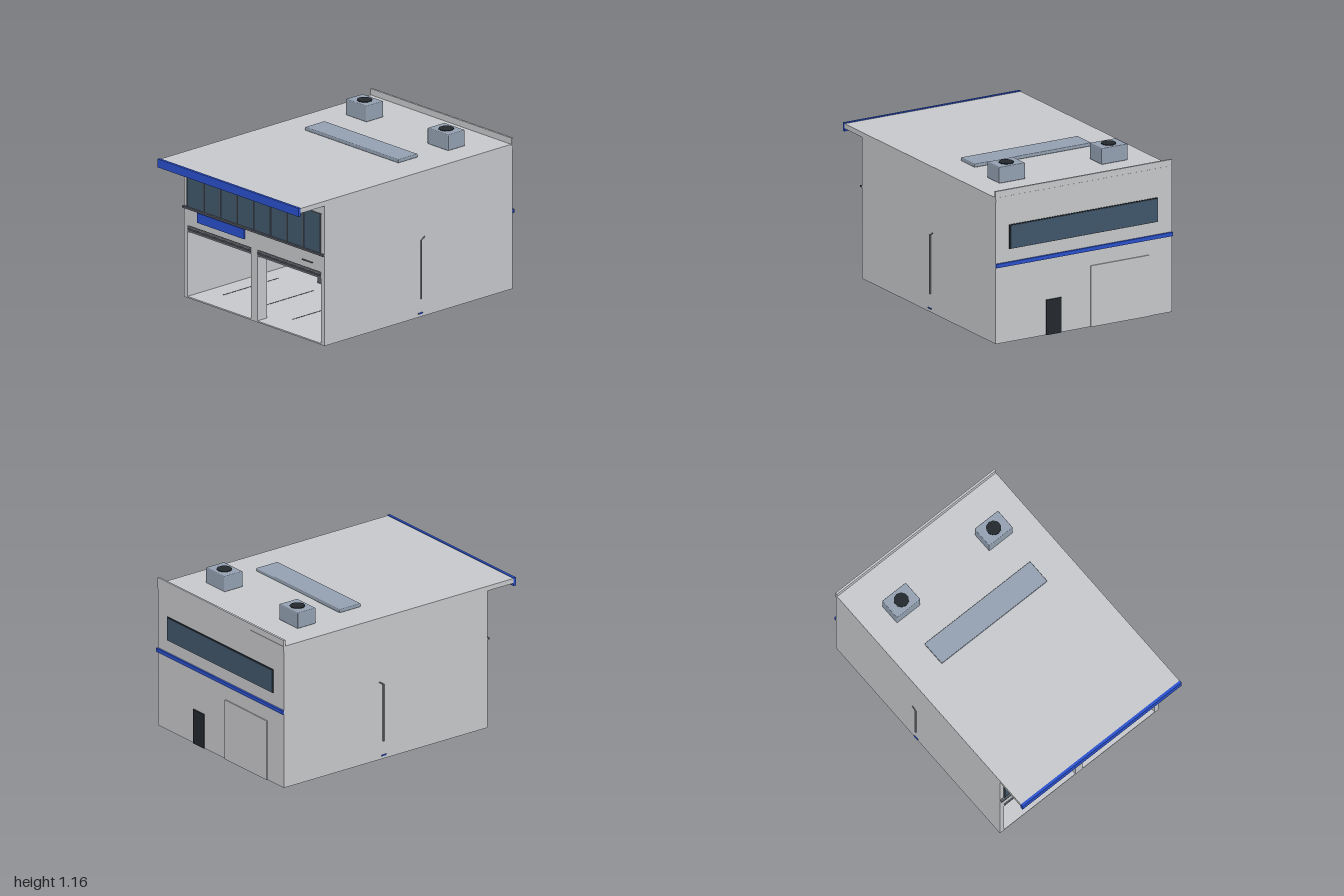
import * as THREE from 'three';
import { RoundedBoxGeometry } from 'three/addons/geometries/RoundedBoxGeometry.js';

const mat = (name, color) => {
  const m = new THREE.MeshStandardMaterial({ color });
  m.name = name;
  return m;
};

export function createModel() {
  const root = new THREE.Group();
  root.name = 'pitGarage';
  const wall = mat('wallGrey', 0xc6c7ca);
  const blue = mat('trimBlue', 0x2a50cc);
  const glass = mat('darkGlass', 0x40566a);
  const screen = mat('screenBlue', 0x5296cf);
  const black = mat('black', 0x23282d);
  const dark = mat('darkGrey', 0x585c66);
  const steel = mat('steelBlue', 0x93a0b1);
  const metal = mat('metalGrey', 0x868a92);

  const group = (name) => {
    const g = new THREE.Group();
    g.name = name;
    root.add(g);
    return g;
  };
  // Box given by its minimum and maximum on each axis
  const box = (parent, name, m, x0, x1, y0, y1, z0, z1) => {
    const b = new THREE.Mesh(new THREE.BoxGeometry(x1 - x0, y1 - y0, z1 - z0), m);
    b.name = name;
    b.position.set((x0 + x1) / 2, (y0 + y1) / 2, (z0 + z1) / 2);
    parent.add(b);
    return b;
  };
  const rod = (parent, name, m, r, a, b) => {
    const p = new THREE.Vector3(...a), q = new THREE.Vector3(...b);
    const c = new THREE.Mesh(new THREE.CylinderGeometry(r, r, p.distanceTo(q), 10), m);
    c.name = name;
    c.position.copy(p).lerp(q, 0.5);
    c.quaternion.setFromUnitVectors(new THREE.Vector3(0, 1, 0), q.sub(p).normalize());
    parent.add(c);
  };

  // Shell: floor, walls, pillars, upper storey
  const shell = group('shell');
  box(shell, 'floor', wall, -0.7, 0.7, 0, 0.01, -0.985, 0.757);
  box(shell, 'backWall', wall, -0.665, 0.665, 0.01, 0.52, -0.985, -0.95);
  for (const s of [-1, 1])
    box(shell, 'sideWall', wall, s < 0 ? -0.7 : 0.665, s < 0 ? -0.665 : 0.7, 0.01, 0.52, -0.985, 0.757);
  box(shell, 'centrePillar', wall, -0.035, 0.03, 0.01, 0.52, 0.667, 0.757);
  box(shell, 'upperStorey', wall, -0.7, 0.7, 0.52, 1.005, -0.985, 0.757);

  // Roof with front overhang, blue fascia and rear parapet
  const roof = group('roof');
  box(roof, 'roofSlab', wall, -0.7, 0.7, 1.005, 1.04, -0.988, 0.985);
  box(roof, 'fascia', blue, -0.702, 0.702, 0.985, 1.045, 0.98, 1.0);
  box(roof, 'parapet', wall, -0.702, 0.702, 1.03, 1.085, -0.987, -0.972);
  for (let i = 0; i < 6; i++) {
    const x = -0.55 + i * 0.22;
    box(roof, 'soffitLight', metal, x - 0.02, x + 0.02, 1.0, 1.005, 0.885, 0.915);
  }
  // Roof units
  const unit = (name, x, z, w, h, d) => {
    const u = new THREE.Mesh(new RoundedBoxGeometry(w, h, d, 2, 0.006), steel);
    u.name = name;
    u.position.set(x, 1.04 + h / 2, z);
    roof.add(u);
  };
  for (const s of [-1, 1]) {
    unit('airUnit', s * 0.407, -0.643, 0.207, 0.115, 0.157);
    rod(roof, 'fan', black, 0.053, [s * 0.407, 1.15, -0.643], [s * 0.407, 1.16, -0.643]);
  }
  unit('roofDuct', 0, -0.235, 0.93, 0.025, 0.182);

  // Front windows, mullions, sill and signs
  const front = group('front');
  box(front, 'windowBand', glass, -0.665, 0.665, 0.657, 0.94, 0.757, 0.762);
  for (let i = 0; i <= 8; i++) {
    const x = -0.662 + i * 0.1655;
    box(front, 'mullion', dark, x - 0.004, x + 0.004, 0.657, 0.94, 0.757, 0.767);
  }
  box(front, 'windowHead', dark, -0.667, 0.667, 0.937, 0.942, 0.757, 0.767);
  box(front, 'sill', dark, -0.7, 0.7, 0.645, 0.658, 0.757, 0.777);
  box(front, 'signPanel', blue, -0.56, -0.095, 0.567, 0.637, 0.757, 0.766);
  box(front, 'lampBar', dark, 0.48, 0.585, 0.567, 0.572, 0.757, 0.767);
  // Rolled-up shutters above each bay
  for (const [x0, x1] of [[-0.665, -0.035], [0.03, 0.665]]) {
    box(front, 'shutterBox', dark, x0, x1, 0.488, 0.52, 0.69, 0.75);
    for (let i = 0; i < 3; i++)
      box(front, 'shutterSlat', i % 2 ? dark : metal, x0, x1, 0.476 + i * 0.014, 0.486 + i * 0.014, 0.748, 0.758 + i * 0.001);
  }

  // Rear: window, stripe, door and loading door
  const rear = group('rear');
  box(rear, 'rearWindowFrame', black, -0.587, 0.593, 0.66, 0.833, -0.99, -0.985);
  box(rear, 'rearWindow', glass, -0.58, 0.586, 0.666, 0.827, -0.994, -0.985);
  box(rear, 'rearStripe', blue, -0.702, 0.702, 0.543, 0.57, -1.0, -0.985);
  box(rear, 'rearDoor', black, 0.18, 0.3, 0.0, 0.25, -0.993, -0.985);
  box(rear, 'loadingDoor', wall, -0.52, -0.053, 0.0, 0.435, -0.993, -0.985);

  // Drain pipes on both sides
  const pipes = group('pipes');
  for (const s of [-1, 1]) {
    const x = s * 0.703;
    rod(pipes, 'downPipe', metal, 0.006, [x, 0.13, -0.135], [x, 0.55, -0.135]);
    rod(pipes, 'pipeBend', metal, 0.004, [x, 0.548, -0.135], [x, 0.57, -0.168]);
    box(pipes, 'pipeFoot', blue, x - 0.004, x + 0.004, 0.022, 0.03, -0.15, -0.11);
  }

  // Interior rear wall: blue tiles, rail, hoses and screens
  const inside = group('interior');
  box(inside, 'tilePanel', blue, -0.65, 0.65, 0.14, 0.415, -0.95, -0.944);
  box(inside, 'tileRail', dark, -0.665, 0.665, 0.131, 0.14, -0.95, -0.935);
  box(inside, 'tileTopRail', dark, -0.665, 0.665, 0.415, 0.421, -0.95, -0.94);
  box(inside, 'skirtStripe', blue, -0.664, 0.664, 0.02, 0.045, -0.95, -0.944);
  box(inside, 'gantry', dark, -0.64, 0.64, 0.44, 0.452, -0.85, -0.83);
  box(inside, 'lightRail', metal, -0.66, 0.66, 0.47, 0.477, -0.85, -0.83);
  for (const s of [-1, 1]) {
    box(inside, 'gantryPost', metal, s * 0.35 - 0.006, s * 0.35 + 0.006, 0.01, 0.52, -0.93, -0.918);
    for (const x of [0.63, 0.53, 0.467, 0.415, 0.29, 0.23, 0.17, 0.05])
      rod(inside, 'hose', metal, 0.002, [s * x, 0.14, -0.935], [s * x, 0.475, -0.935]);
    for (const x of [0.105, 0.315, 0.525]) {
      box(inside, 'wallScreenFrame', black, s * x - 0.058, s * x + 0.058, 0.357, 0.427, -0.9, -0.88);
      box(inside, 'wallScreen', screen, s * x - 0.056, s * x + 0.056, 0.363, 0.424, -0.88, -0.876);
    }
    // Floor markings
    for (const x of [0.17, 0.52])
      box(inside, 'floorLine', dark, s * x - 0.002, s * x + 0.002, 0.01, 0.012, 0.05, 0.56);
  }

  // Command stand: platform, desk, screens, stools and canopy
  const stand = group('commandStand');
  box(stand, 'platform', dark, -0.27, 0.265, 0.01, 0.064, -0.26, -0.08);
  box(stand, 'step', steel, 0.13, 0.235, 0.01, 0.042, -0.08, -0.04);
  box(stand, 'frontPanel', wall, -0.265, 0.265, 0.064, 0.135, -0.15, -0.135);
  box(stand, 'desk', metal, -0.258, 0.255, 0.183, 0.19, -0.18, -0.11);
  box(stand, 'screenRail', dark, -0.265, 0.265, 0.248, 0.253, -0.18, -0.172);
  box(stand, 'canopy', metal, -0.285, 0.282, 0.313, 0.325, -0.27, -0.05);
  box(stand, 'canopyBeam', dark, -0.275, 0.272, 0.305, 0.313, -0.26, -0.06);
  for (const x of [-0.268, 0.266])
    for (const z of [-0.24, -0.09])
      box(stand, 'canopyPost', dark, x - 0.005, x + 0.005, 0.064, 0.313, z - 0.005, z + 0.005);
  for (const x of [-0.195, -0.067, 0.062, 0.19]) {
    box(stand, 'monitorFrame', black, x - 0.052, x + 0.052, 0.199, 0.302, -0.17, -0.155);
    box(stand, 'monitor', screen, x - 0.049, x + 0.049, 0.204, 0.298, -0.155, -0.15);
    box(stand, 'monitorBar', dark, x - 0.049, x + 0.049, 0.25, 0.254, -0.15, -0.148);
    box(stand, 'stool', black, x - 0.022, x + 0.022, 0.138, 0.175, -0.1, -0.085);
    rod(stand, 'stoolLeg', dark, 0.004, [x, 0.064, -0.12], [x, 0.138, -0.095]);
  }
  rod(stand, 'mast', black, 0.003, [0.245, 0.325, -0.16], [0.245, 0.42, -0.16]);
  box(stand, 'mastSensor', wall, 0.233, 0.257, 0.39, 0.41, -0.165, -0.145);

  return root;
}
